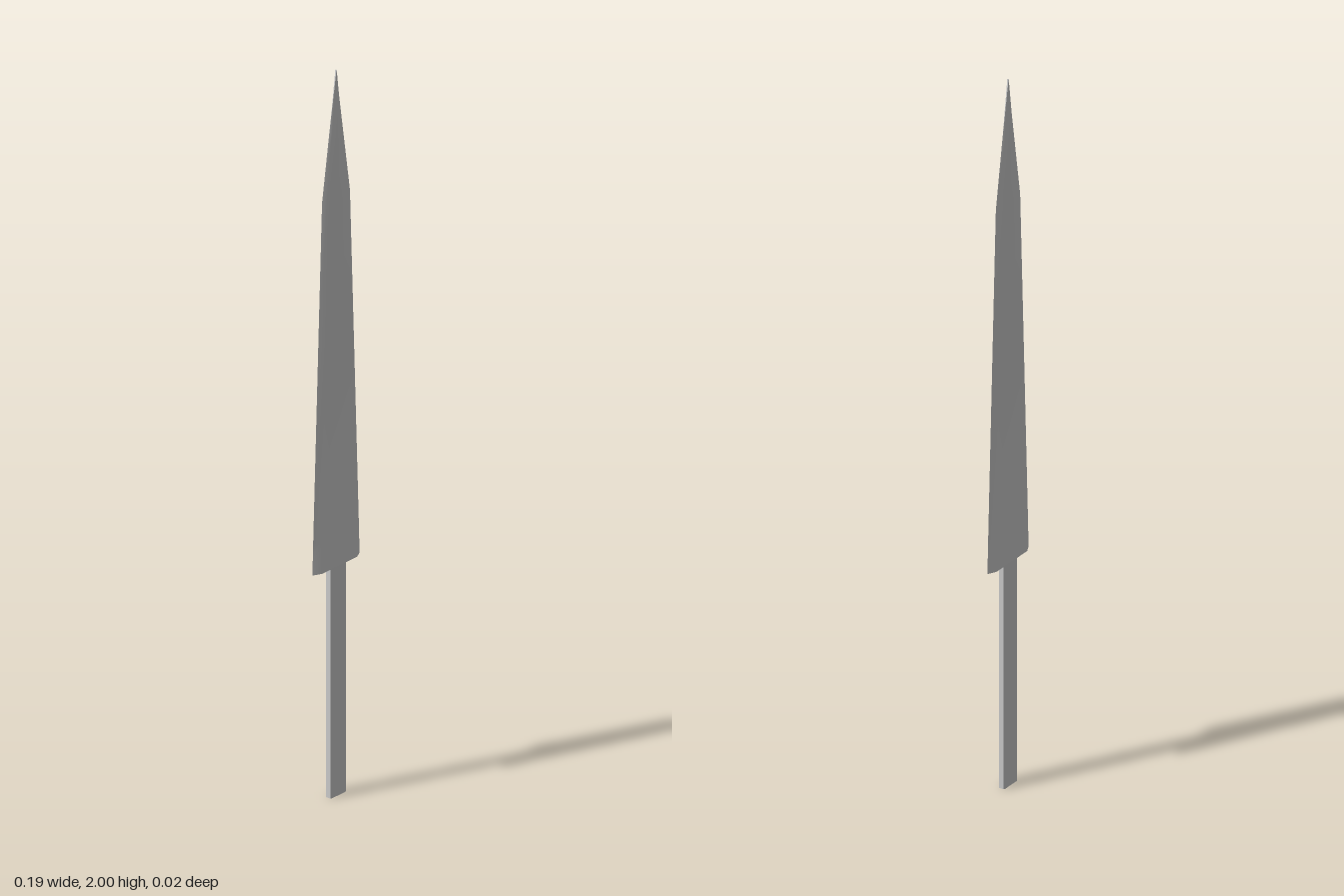
import * as THREE from 'three';
import { toCreasedNormals } from 'three/addons/utils/BufferGeometryUtils.js';

// Skins a stack of [y, halfWidth, halfThickness] stations with a unit cross-section.
function loft(section, stations) {
  const n = section.length;
  const positions = [];
  const index = [];
  for (const [y, w, t] of stations) {
    for (const [x, z] of section) positions.push(x * w, y, z * t);
  }
  for (let s = 0; s < stations.length - 1; s++) {
    for (let i = 0; i < n; i++) {
      const a = s * n + i;
      const b = s * n + (i + 1) % n;
      index.push(a, b, b + n, a, b + n, a + n);
    }
  }
  // End caps
  const top = (stations.length - 1) * n;
  for (let i = 1; i < n - 1; i++) {
    index.push(0, i + 1, i);
    index.push(top, top + i, top + i + 1);
  }
  const geometry = new THREE.BufferGeometry();
  geometry.setAttribute('position', new THREE.Float32BufferAttribute(positions, 3));
  geometry.setIndex(index);
  return toCreasedNormals(geometry, THREE.MathUtils.degToRad(50));
}

export function createModel() {
  const group = new THREE.Group();
  group.name = 'spearhead';
  const material = new THREE.MeshStandardMaterial({ color: 0xcccccc });

  const addPart = (name, section, stations) => {
    const mesh = new THREE.Mesh(loft(section, stations), material);
    mesh.name = name;
    group.add(mesh);
  };

  // Blade: sharp edges, bevels and a flat middle, thickened at the shoulder
  const bladeSection = [
    [1, 0], [0.74, -1], [0, -1], [-0.74, -1],
    [-1, 0], [-0.74, 1], [0, 1], [0.74, 1],
  ];
  addPart('blade', bladeSection, [
    [0.635, 0.093, 0.012],
    [0.69, 0.091, 0.011],
    [0.72, 0.09, 0.009],
    [1.28, 0.069, 0.008],
    [1.65, 0.055, 0.006],
    [1.83, 0.027, 0.004],
    [2, 0.0005, 0.002],
  ]);

  // Tang: flat bar with slightly softened sides
  const tangSection = [
    [1, 0.8], [1, -0.8], [0.85, -1], [-0.85, -1],
    [-1, -0.8], [-1, 0.8], [-0.85, 1], [0.85, 1],
  ];
  addPart('tang', tangSection, [
    [0, 0.03, 0.009],
    [0.66, 0.03, 0.009],
  ]);

  return group;
}
